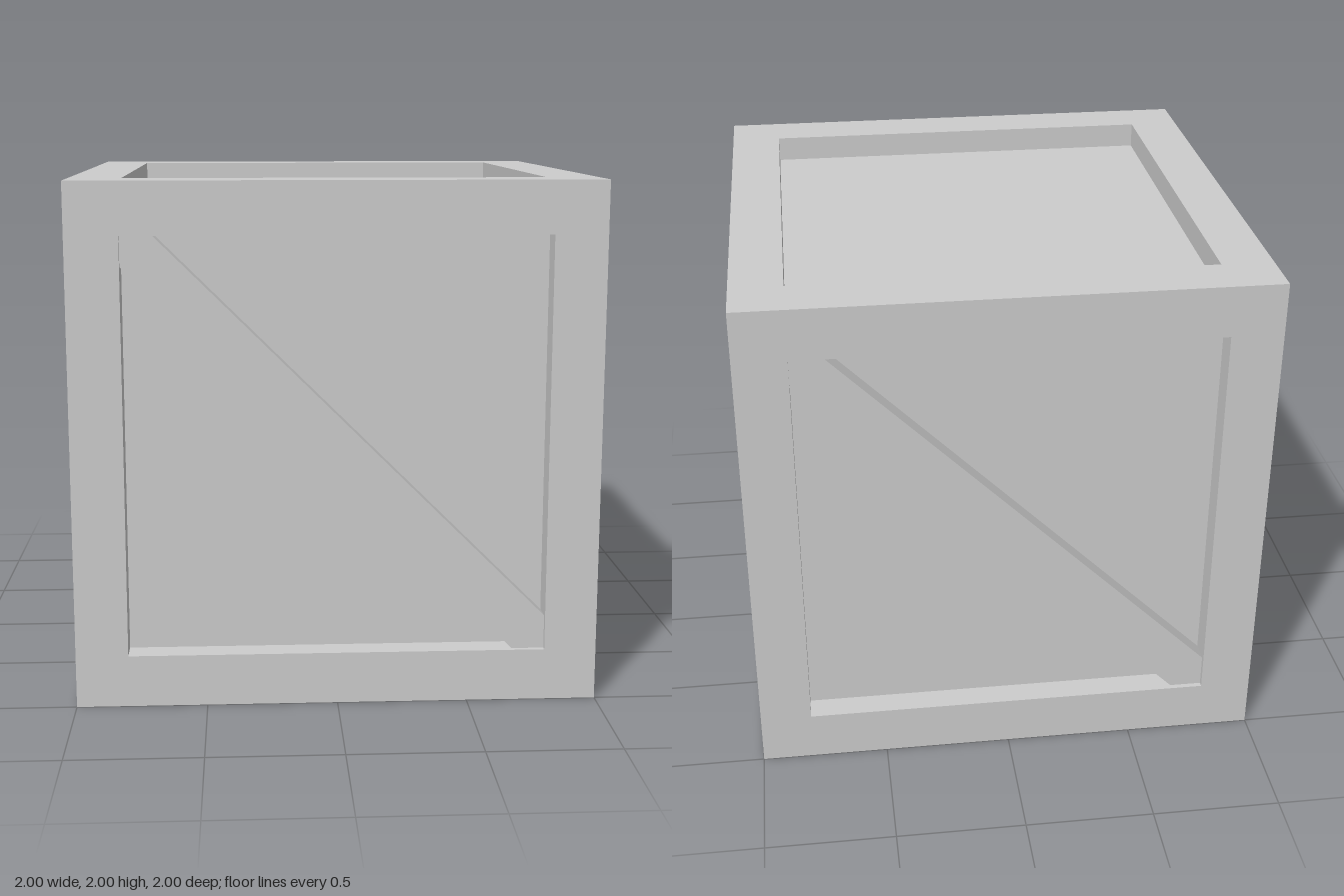
import * as THREE from 'three';

const HALF = 1;        // half the crate's side
const WIN = 0.8;       // half the recessed window
const DEPTH = 0.1;     // how far the panels sit back
const BRACE_SET = 0.02; // how far the braces sit back

export function createModel() {
  const crate = new THREE.Group();
  crate.name = 'crate';
  const grey = new THREE.MeshStandardMaterial({ color: 0xcccccc });
  grey.name = 'grey';
  grey.flatShading = true;
  grey.side = THREE.DoubleSide;

  const square = (Kind, r) =>
    new Kind([[-r, -r], [r, -r], [r, r], [-r, r]].map(([x, y]) => new THREE.Vector2(x, y)));

  // flat border of one face
  const border = square(THREE.Shape, HALF);
  border.holes.push(square(THREE.Path, WIN));
  const frameGeo = new THREE.ShapeGeometry(border);

  // four inner edges leading back to the panel
  const radius = WIN * Math.SQRT2;
  const revealGeo = new THREE.CylinderGeometry(radius, radius, DEPTH, 4, 1, true);
  revealGeo.rotateY(Math.PI / 4).rotateX(Math.PI / 2).translate(0, 0, -DEPTH / 2);

  const panelGeo = new THREE.PlaneGeometry(WIN * 2, WIN * 2).translate(0, 0, -DEPTH);

  // diagonal plank clipped to the window corners; side = -1 mirrors it
  const braceGeo = (side) => {
    const outline = [[-WIN, WIN], [-WIN, 0.685], [0.675, -WIN], [WIN, -WIN], [WIN, -0.67], [-0.68, WIN]];
    const shape = new THREE.Shape(outline.map(([x, y]) => new THREE.Vector2(x * side, y)));
    const geo = new THREE.ExtrudeGeometry(shape, { depth: DEPTH - BRACE_SET - 0.001, bevelEnabled: false });
    return geo.translate(0, 0, -DEPTH + 0.001);
  };
  const braces = [braceGeo(1), braceGeo(-1)];

  function addFace(name, rx, ry, brace) {
    const face = new THREE.Group();
    face.name = name;
    const add = (part, geo) => {
      const mesh = new THREE.Mesh(geo.clone().translate(0, 0, HALF), grey);
      mesh.name = part;
      face.add(mesh);
    };
    add('frame', frameGeo);
    add('frameInnerEdges', revealGeo);
    add('panel', panelGeo);
    if (brace) add('diagonalBrace', brace);
    face.rotation.set(rx, ry, 0);
    face.position.y = HALF;
    crate.add(face);
  }

  // four braced walls and a plain lid; the underside is open
  ['frontWall', 'sideWallA', 'backWall', 'sideWallB'].forEach((name, i) =>
    addFace(name, 0, i * Math.PI / 2, braces[i % 2]));
  addFace('lid', -Math.PI / 2, 0, null);

  return crate;
}
